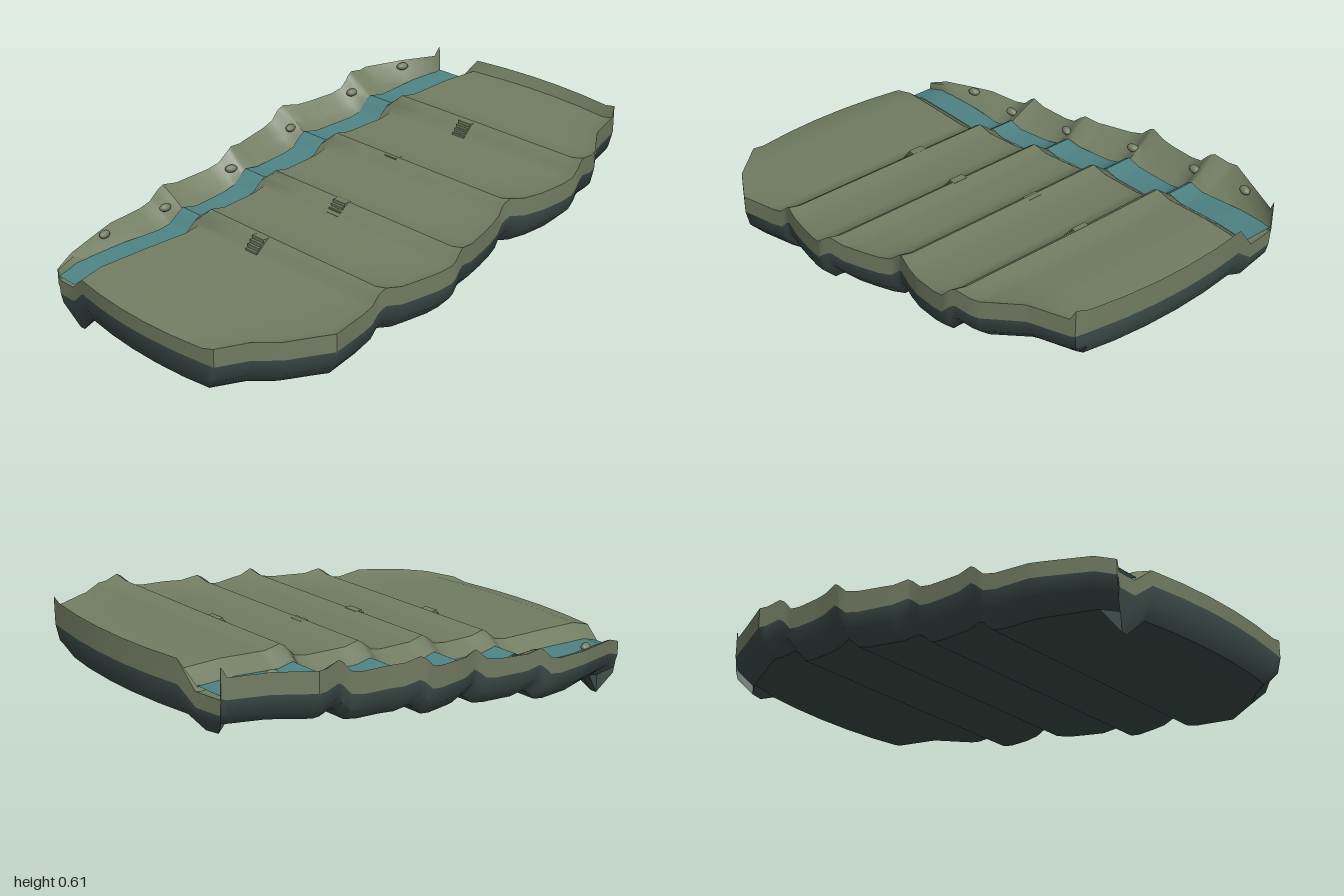
import * as THREE from 'three';
import { toCreasedNormals } from 'three/addons/utils/BufferGeometryUtils.js';

// linear interpolation through [z, value] pairs sorted from front to back
function lerpTable(table, z) {
  if (z >= table[0][0]) return table[0][1];
  for (let i = 1; i < table.length; i++) {
    const [z0, v0] = table[i - 1], [z1, v1] = table[i];
    if (z >= z1) return v0 + (v1 - v0) * (z - z0) / (z1 - z0);
  }
  return table[table.length - 1][1];
}

// terrace height: shallow treads, a small lip and a curved riser at each step
const HEIGHT = [[0.945, 0.24], [0.87, 0.265], [0.7, 0.277]];
for (const [z, low, high] of [[0.43, 0.287, 0.348], [0.115, 0.35, 0.408], [-0.2, 0.41, 0.47], [-0.535, 0.472, 0.54]]) {
  HEIGHT.push([z + 0.08, low], [z + 0.03, low + 0.012], [z - 0.01, high - 0.012], [z - 0.03, high], [z - 0.09, high - 0.01]);
}
HEIGHT.push([-0.8, 0.548], [-0.93, 0.55], [-0.95, 0.555]);

// plan outline and stream banks
const RIGHT = [[0.945, 0.36], [0.8, 0.52], [0.65, 0.61], [0.52, 0.585], [0.43, 0.575], [0.28, 0.61], [0.13, 0.64],
  [-0.05, 0.595], [-0.2, 0.55], [-0.36, 0.595], [-0.53, 0.61], [-0.66, 0.58], [-0.78, 0.49], [-0.95, 0.43]];
const LEFT = [[0.945, -0.525], [0.8, -0.565], [0.65, -0.605], [0.45, -0.615], [0.28, -0.6], [0.1, -0.585], [0, -0.61],
  [-0.2, -0.645], [-0.35, -0.615], [-0.53, -0.6], [-0.66, -0.62], [-0.8, -0.55], [-0.95, -0.485]];
const STREAM_L = [[0.945, -0.515], [0.65, -0.508], [0.35, -0.478], [0, -0.5], [-0.2, -0.51], [-0.6, -0.48], [-0.95, -0.478]];
const STREAM_R = [[0.945, -0.435], [0.65, -0.418], [0.35, -0.4], [0, -0.405], [-0.2, -0.41], [-0.6, -0.39], [-0.95, -0.37]];
const RIM_L = [[0.945, -0.02], [0.65, 0], [0.2, 0.015], [-0.2, 0.03], [-0.95, 0.02]];

const ROWS = [...new Set([...HEIGHT, ...RIGHT, ...LEFT].map((p) => p[0]))].sort((a, b) => a - b);
const COLS = 10;

// columns across one row as [x, offset from terrace height]
function column(z, j) {
  const l = lerpTable(LEFT, z), r = lerpTable(RIGHT, z);
  const sl = lerpTable(STREAM_L, z), sr = lerpTable(STREAM_R, z);
  const edge = sr + 0.075, inner = r - 0.05;
  if (j === 0) return [l, lerpTable(RIM_L, z)];
  if (j === 1) return [(l + sl) / 2, -0.022];
  if (j === 2) return [sl, -0.06];
  if (j === 3) return [sr, -0.06];
  if (j === COLS) return [r, 0.012];
  return [edge + (inner - edge) * (j - 4) / (COLS - 5), 0];
}

// level 0 is the ground, 1 the colour break, 2 the flank, 3 the underside
function point(i, j, level) {
  const zs = ROWS[i], t = lerpTable(HEIGHT, zs);
  let [x, off] = column(zs, j);
  const l = lerpTable(LEFT, zs), r = lerpTable(RIGHT, zs);
  const inChannel = j === 2 || j === 3;
  let z = zs + 0.047 * Math.sign(zs) * Math.pow(Math.abs(zs) / 0.95, 5) * (1 - Math.min(1, Math.abs(x) / 0.43) ** 2);
  const inset = [0, 0, 0.012, 0.065][level];
  x = Math.min(r - inset, Math.max(l + inset, x));
  z *= 1 - inset * 0.6;
  const dip = Math.min(0, off);
  let y;
  if (level === 0) y = t + off + (i === 0 && !inChannel ? 0.035 : 0);
  else if (level === 1) y = t - 0.055 + dip;
  else if (level === 2) y = t - 0.115 + dip * 0.6;
  else {
    y = t - 0.168;
    if (inChannel && i === 0) y -= 0.036;
    if (inChannel && i === ROWS.length - 1) y -= 0.072;
  }
  return [x, y, z];
}

function surface(rows, flip = false, crease = 0.6) {
  const n = rows[0].length, index = [];
  for (let i = 0; i < rows.length - 1; i++) {
    for (let j = 0; j < n - 1; j++) {
      const a = i * n + j, b = a + 1, c = a + n, d = c + 1;
      if (flip) index.push(a, b, c, b, d, c);
      else index.push(a, c, b, b, c, d);
    }
  }
  const g = new THREE.BufferGeometry();
  g.setAttribute('position', new THREE.Float32BufferAttribute(rows.flat(2), 3));
  g.setIndex(index);
  return toCreasedNormals(g, crease);
}

export function createModel() {
  const model = new THREE.Group();
  model.name = 'terracedSlope';
  const material = (name, color) => {
    const m = new THREE.MeshStandardMaterial({ color, side: THREE.DoubleSide });
    m.name = name;
    return m;
  };
  const moss = material('mossGreen', 0x737d63);
  const stone = material('darkSlate', 0x40524f);
  const water = material('waterTeal', 0x4f8486);
  const add = (name, geometry, mat, parent = model) => {
    const mesh = new THREE.Mesh(geometry, mat);
    mesh.name = name;
    parent.add(mesh);
    return mesh;
  };

  const last = ROWS.length - 1;
  const sheet = (level) => ROWS.map((_, i) => Array.from({ length: COLS + 1 }, (_, j) => point(i, j, level)));

  // closed walk round the border of the plan
  const border = [];
  for (let j = 0; j < COLS; j++) border.push([last, j]);
  for (let i = last; i > 0; i--) border.push([i, COLS]);
  for (let j = COLS; j > 0; j--) border.push([0, j]);
  for (let i = 0; i <= last; i++) border.push([i, 0]);
  const ring = (level) => border.map(([i, j]) => point(i, j, level));

  add('terraces', surface(sheet(0)), moss);
  add('mossyRim', surface([ring(0), ring(1)]), moss);
  add('rockFlank', surface([ring(1), ring(2), ring(3)], false, 0.9), stone);
  add('underside', surface(sheet(3), true, 0.9), stone);

  // stream stepping down beside the terraces
  add('stream', surface(ROWS.map((z) => {
    const y = lerpTable(HEIGHT, z) - 0.046;
    return [[lerpTable(STREAM_L, z) - 0.008, y, z], [lerpTable(STREAM_R, z) + 0.012, y, z]];
  })), water);

  // little stairs on each riser
  [[-0.03, 0.44, 0.292], [0.04, 0.115, 0.354], [-0.03, -0.21, 0.414], [0.04, -0.535, 0.482]].forEach(([x, z, y]) => {
    const stairs = new THREE.Group();
    stairs.name = 'stairs';
    model.add(stairs);
    for (let k = 0; k < 4; k++) {
      const step = add('step', new THREE.BoxGeometry(0.06, 0.013, 0.03), moss, stairs);
      step.position.set(x, y + 0.007 + k * 0.0135, z + 0.01 - k * 0.011);
    }
  });

  // boulders along the far bank
  [[-0.53, 0.553, -0.78], [-0.555, 0.5, -0.52], [-0.565, 0.432, -0.2], [-0.535, 0.365, 0.13], [-0.535, 0.302, 0.45], [-0.56, 0.268, 0.71]]
    .forEach(([x, y, z], k) => {
      const rock = add('boulder', new THREE.SphereGeometry(1, 10, 8), moss);
      rock.scale.set(0.017, 0.015, 0.025);
      rock.position.set(x, y, z);
      rock.rotation.y = (k % 3 - 1) * 0.3;
    });

  return model;
}
